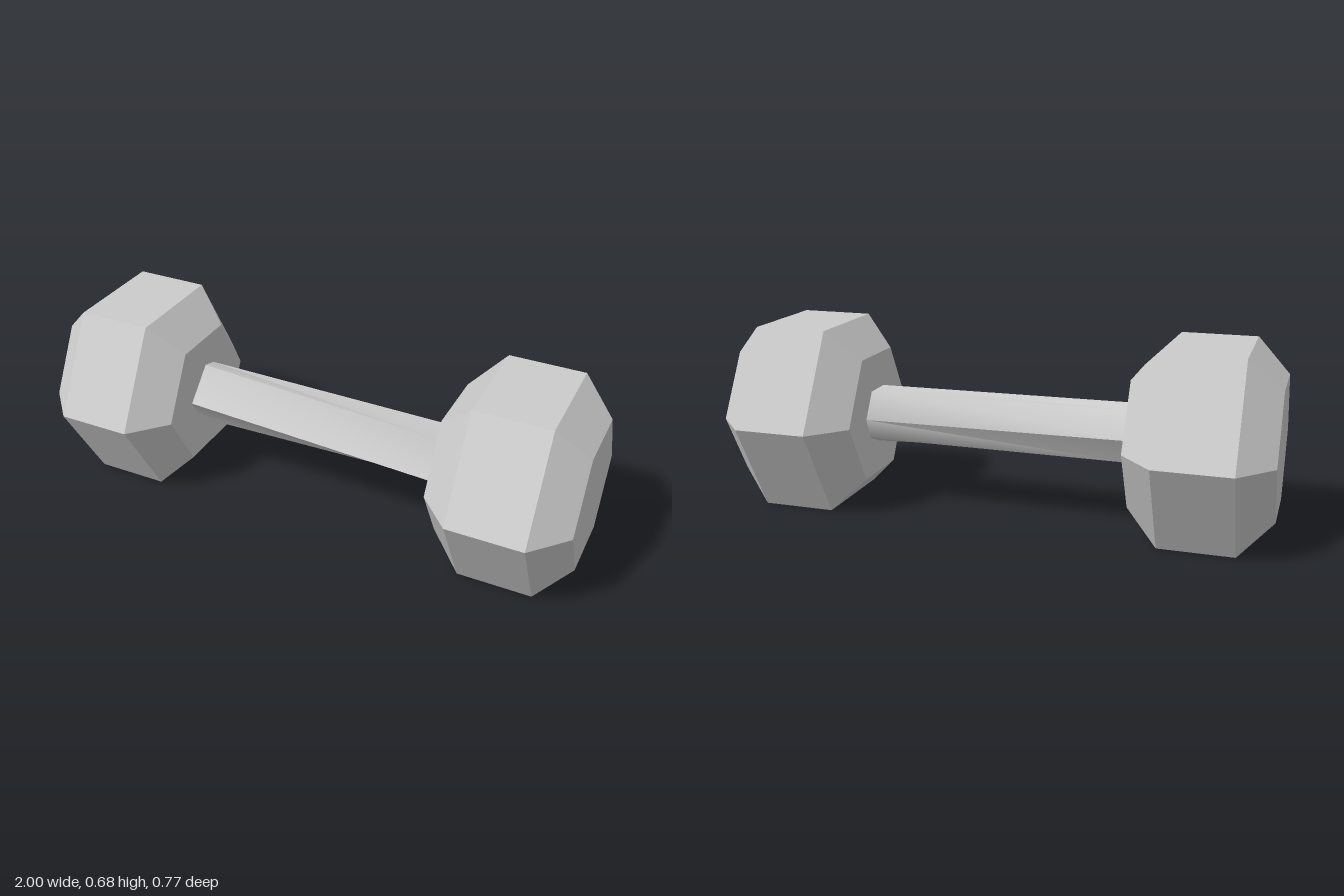
import * as THREE from 'three';
import { toCreasedNormals } from 'three/addons/utils/BufferGeometryUtils.js';

const CENTRE_Y = 0.341;

// Hexagonal weight with bevelled rims, its axis along x
function headGeometry() {
  const profile = [[0, -0.2525], [0.256, -0.2525], [0.384, -0.135], [0.384, 0.135], [0.256, 0.2525], [0, 0.2525]]
    .map(([r, y]) => new THREE.Vector2(r, y));
  const g = new THREE.LatheGeometry(profile, 6);
  g.rotateZ(-Math.PI / 2);
  g.scale(1, 1.025, 1);
  return toCreasedNormals(g, 0.1);
}

// Uneven six-sided bar that twists between its two end sections
function handleGeometry() {
  const sections = [
    { x: -0.5, y: 0.348, angles: [90, 0, -60, -120, -180, -240] },
    { x: 0.5, y: 0.34, angles: [61, -30, -90, -135, -180, -240] },
  ];
  const positions = [];
  for (const { x, y, angles } of sections) {
    for (const a of angles) {
      const t = THREE.MathUtils.degToRad(a);
      positions.push(x, y + 0.11 * Math.sin(t), 0.11 * Math.cos(t));
    }
  }
  const index = [];
  for (let i = 0; i < 6; i++) {
    const j = (i + 1) % 6;
    index.push(i, j, j + 6, i, j + 6, i + 6);
  }
  // end caps
  for (let i = 1; i < 5; i++) index.push(0, i + 1, i, 6, 6 + i, 7 + i);
  const g = new THREE.BufferGeometry();
  g.setAttribute('position', new THREE.Float32BufferAttribute(positions, 3));
  g.setIndex(index);
  return toCreasedNormals(g, 1.0);
}

export function createModel() {
  const model = new THREE.Group();
  model.name = 'dumbbell';
  const steel = new THREE.MeshStandardMaterial({ color: 0xcccccc });
  steel.name = 'light grey steel';

  const head = headGeometry();
  for (const [name, side] of [['leftHead', 1], ['rightHead', -1]]) {
    const mesh = new THREE.Mesh(head, steel);
    mesh.name = name;
    mesh.position.set(side * 0.7475, CENTRE_Y, 0);
    model.add(mesh);
  }

  const handle = new THREE.Mesh(handleGeometry(), steel);
  handle.name = 'handle';
  model.add(handle);
  return model;
}
